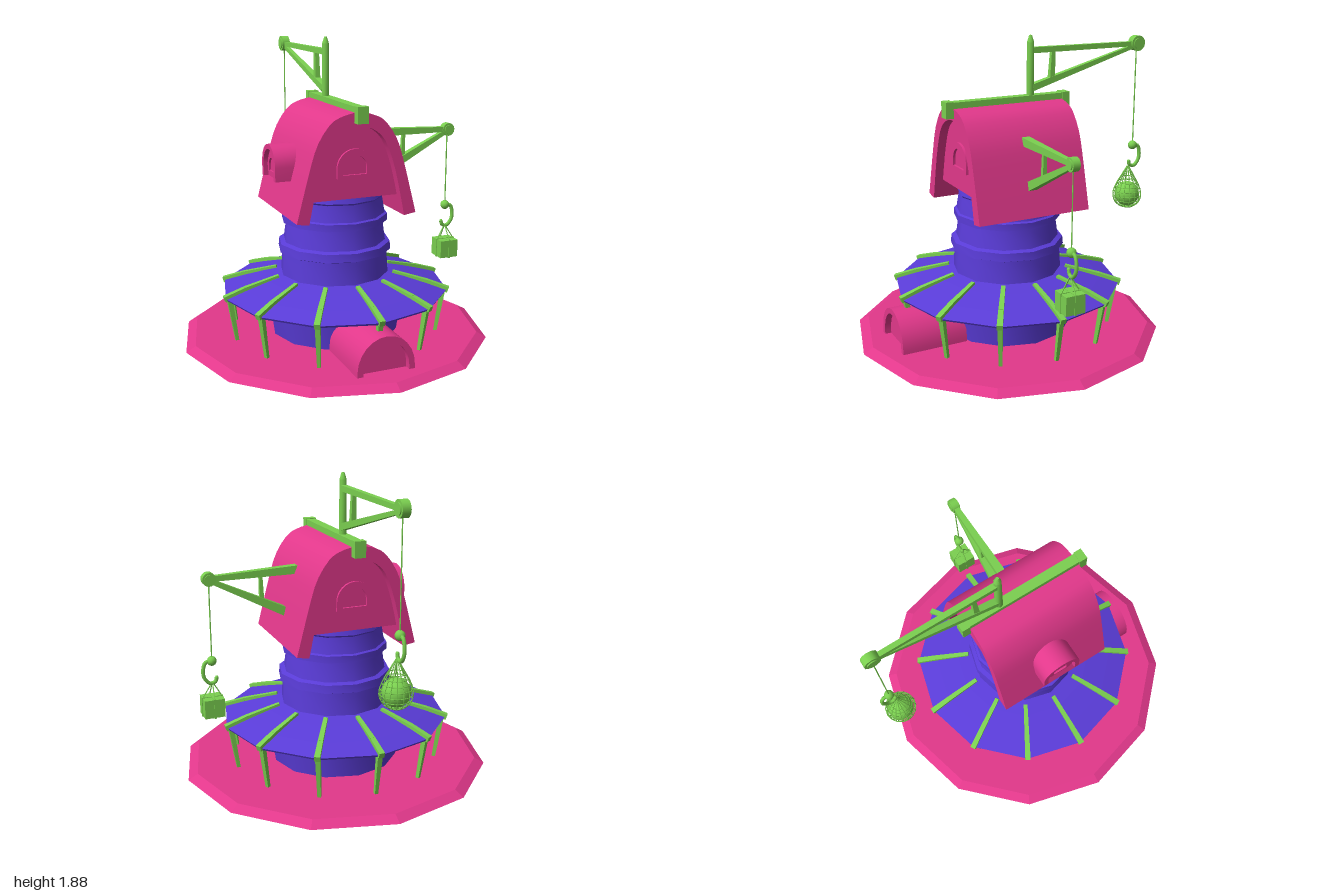
import * as THREE from 'three';
import { toCreasedNormals } from 'three/addons/utils/BufferGeometryUtils.js';

const V = (x, y, z = 0) => new THREE.Vector3(x, y, z);
const P = (list) => list.map(([x, y]) => new THREE.Vector2(x, y));
const UP = V(0, 1, 0);

export function createModel() {
  const pink = new THREE.MeshStandardMaterial({ color: 0xe2388b });
  pink.name = 'pink';
  const blue = new THREE.MeshStandardMaterial({ color: 0x5a3cd8 });
  blue.name = 'blue';
  const green = new THREE.MeshStandardMaterial({ color: 0x7bd050 });
  green.name = 'green';

  const model = new THREE.Group();
  model.name = 'craneTower';
  const root = new THREE.Group();
  root.name = 'building';
  root.position.z = 0.017;
  model.add(root);

  function add(parent, name, geo, mat, x = 0, y = 0, z = 0) {
    const m = new THREE.Mesh(geo, mat);
    m.name = name;
    m.position.set(x, y, z);
    parent.add(m);
    return m;
  }
  function group(parent, name, x = 0, y = 0, z = 0, ry = 0) {
    const g = new THREE.Group();
    g.name = name;
    g.position.set(x, y, z);
    g.rotation.y = ry;
    parent.add(g);
    return g;
  }
  const box = (w, h, d) => new THREE.BoxGeometry(w, h, d);

  // Tapered beam between two points, square (4 sides) or round
  function beam(parent, name, a, b, wa, wb = wa, sides = 4) {
    const k = sides === 4 ? Math.SQRT1_2 : 0.5;
    const geo = new THREE.CylinderGeometry(wb * k, wa * k, a.distanceTo(b), sides);
    if (sides === 4) geo.rotateY(Math.PI / 4);
    const m = add(parent, name, toCreasedNormals(geo, 1.1), green);
    m.position.copy(a).add(b).multiplyScalar(0.5);
    m.quaternion.setFromUnitVectors(UP, b.clone().sub(a).normalize());
    return m;
  }

  // Arch outline: straight sides up to s, then a half ellipse up to h
  function archPts(w, h, s, n = 12) {
    const pts = [[w, 0]];
    for (let i = 0; i <= n; i++) {
      const t = (i / n) * Math.PI;
      pts.push([w * Math.cos(t), s + (h - s) * Math.sin(t)]);
    }
    pts.push([-w, 0]);
    return P(pts);
  }
  function extrude(pts, depth) {
    const geo = new THREE.ExtrudeGeometry(new THREE.Shape(pts), { depth, bevelEnabled: false });
    return toCreasedNormals(geo, 0.6);
  }
  // Arched frame facing +z whose panel is set back by recess
  function arch(parent, name, w, h, s, t, depth, recess) {
    const inner = archPts(w - t, h - t, s);
    add(parent, name + 'Frame', extrude([...archPts(w, h, s), ...inner.slice().reverse()], depth), pink, 0, 0, -depth);
    add(parent, name + 'Panel', extrude(inner, depth - recess), pink, 0, 0, -depth);
  }
  function windowFrame(parent, w, h, s, t) {
    arch(parent, 'window', w, h, s, t, 0.025, 0.02);
    add(parent, 'windowSill', box(w * 2, t * 0.5, 0.025), pink, 0, t * 0.25, -0.0125);
  }

  // Twelve-sided base and ringed tower
  add(root, 'base', new THREE.CylinderGeometry(0.92, 0.98, 0.034, 12).toNonIndexed(), pink, 0, 0.017);
  root.children[0].geometry.computeVertexNormals();
  const tower = P([[0.4, 0.002], [0.452, 0.36], [0.345, 0.41], [0.335, 0.56], [0.36, 0.57], [0.355, 0.62],
    [0.325, 0.63], [0.308, 0.75], [0.336, 0.757], [0.336, 0.8], [0.32, 0.807], [0.303, 0.91], [0.31, 0.92], [0.29, 1.0]]);
  add(root, 'tower', toCreasedNormals(new THREE.LatheGeometry(tower, 12), 0.56), blue);

  // Skirt roof with ribs and leaning posts
  const skirt = P([[0.43, 0.375], [0.715, 0.3], [0.723, 0.313], [0.6, 0.352], [0.45, 0.394], [0.335, 0.42]]);
  const skirtGeo = new THREE.LatheGeometry(skirt, 12).toNonIndexed();
  skirtGeo.computeVertexNormals();
  add(root, 'skirtRoof', skirtGeo, blue);
  for (let i = 0; i < 12; i++) {
    const g = group(root, 'skirtSupport', 0, 0, 0, (i * Math.PI) / 6);
    beam(g, 'rib', V(0.375, 0.413), V(0.6, 0.357), 0.026, 0.032);
    beam(g, 'ribEnd', V(0.595, 0.358), V(0.73, 0.312), 0.032, 0.036);
    beam(g, 'post', V(0.65, 0.0), V(0.698, 0.315), 0.02, 0.032);
  }

  // Arched porch on the front
  arch(group(root, 'porch', 0, 0.01, 0.79), 'door', 0.182, 0.25, 0.05, 0.036, 0.42, 0.04);

  // Curved house roof and the recessed house body
  const half = (list) => {
    const right = new THREE.SplineCurve(P(list)).getPoints(12);
    const left = right.slice(0, -1).reverse().map((p) => new THREE.Vector2(-p.x, p.y));
    return [...right, ...left];
  };
  const outer = half([[0.385, 0.847], [0.306, 1.147], [0.254, 1.305], [0.175, 1.42], [0.097, 1.463], [0, 1.484]]);
  const inner = half([[0.308, 0.835], [0.245, 1.12], [0.175, 1.305], [0.09, 1.38], [0, 1.405]]);
  add(root, 'houseRoof', extrude([...outer, ...inner.slice().reverse()], 0.74), pink, 0, 0, -0.37);
  const body = [new THREE.Vector2(0.283, 0.956), ...inner.filter((p) => p.y > 0.97), new THREE.Vector2(-0.283, 0.956)];
  add(root, 'houseBody', extrude(body, 0.63), pink, 0, 0, -0.315);
  for (const s of [0, 1]) {
    const g = group(root, s ? 'backWindow' : 'frontWindow', 0, 1.085, s ? -0.33 : 0.33, s * Math.PI);
    windowFrame(g, 0.115, 0.175, 0.06, 0.038);
  }

  // Dormer on the right side
  const dormer = group(root, 'dormer', -0.43, 1.05, 0, -Math.PI / 2);
  arch(dormer, 'dormer', 0.125, 0.212, 0.085, 0.03, 0.2, 0.03);
  windowFrame(group(dormer, 'dormerWindow', 0, 0.03, -0.018), 0.07, 0.12, 0.05, 0.025);

  // Ridge beam with end caps
  add(root, 'ridgeBeam', box(0.06, 0.04, 0.8), green, 0.008, 1.495);
  for (const s of [-1, 1]) add(root, 'ridgeCap', box(0.07, 0.1, 0.05), green, 0.008, 1.47, s * 0.397);

  // Pulley, rope, ring and hook; the hook bulges towards +x
  function hoist(parent, x, y, r, thick, ringY) {
    const geo = new THREE.CylinderGeometry(r, r, thick, 16).rotateX(Math.PI / 2);
    add(parent, 'pulley', geo, green, x, y);
    add(parent, 'pulleyHub', new THREE.CylinderGeometry(r * 0.7, r * 0.7, thick + 0.012, 16).rotateX(Math.PI / 2), green, x, y);
    beam(parent, 'rope', V(x, ringY), V(x, y), 0.008, 0.008, 6);
    add(parent, 'ring', new THREE.SphereGeometry(0.03, 10, 8), green, x, ringY);
    const path = [[0, 0], [0.038, -0.005], [0.056, -0.05], [0.05, -0.105], [0.015, -0.143], [-0.018, -0.135], [-0.026, -0.11]];
    const curve = new THREE.CatmullRomCurve3(path.map(([a, b]) => V(x + a, ringY + b)));
    add(parent, 'hook', new THREE.TubeGeometry(curve, 20, 0.012, 6), green);
    add(parent, 'hookTip', new THREE.SphereGeometry(0.012, 6, 5), green, x - 0.026, ringY - 0.11);
  }

  // Side crane carrying a crate
  const side = group(root, 'sideCrane');
  beam(side, 'arm', V(0.24, 1.288), V(0.8, 1.276), 0.052, 0.032);
  beam(side, 'brace', V(0.31, 1.02), V(0.785, 1.26), 0.056, 0.028);
  beam(side, 'strut', V(0.475, 1.11), V(0.48, 1.28), 0.026, 0.02);
  hoist(side, 0.8, 1.275, 0.042, 0.045, 0.765);
  const crate = group(side, 'crate', 0.805, 0.473, 0.005);
  add(crate, 'crateBox', box(0.126, 0.116, 0.126), green);
  add(crate, 'crateStrapX', box(0.134, 0.124, 0.014), green);
  add(crate, 'crateStrapZ', box(0.014, 0.124, 0.134), green);
  for (const sx of [-1, 1]) {
    beam(crate, 'crateRope', V(sx * 0.06, 0.058), V(-0.005, 0.155), 0.007, 0.007, 5);
    beam(crate, 'crateRope', V(0, 0.058, sx * 0.06), V(-0.005, 0.155), 0.007, 0.007, 5);
  }

  // Rear crane on the ridge carrying a net
  const rear = group(root, 'rearCrane', 0.008, 0, 0, Math.PI / 2);
  beam(rear, 'mast', V(0.16, 1.48), V(0.16, 1.84), 0.05, 0.046, 8);
  beam(rear, 'mastTip', V(0.16, 1.84), V(0.16, 1.882), 0.046, 0.018, 8);
  beam(rear, 'arm', V(0.16, 1.79), V(0.942, 1.787), 0.036, 0.03);
  beam(rear, 'brace', V(0.17, 1.56), V(0.92, 1.772), 0.042, 0.024);
  beam(rear, 'strut', V(0.308, 1.605), V(0.317, 1.78), 0.034, 0.026);
  hoist(rear, 0.942, 1.79, 0.05, 0.05, 1.11);

  const net = group(rear, 'net', 0.912, 0.775, 0);
  add(net, 'netLoad', new THREE.SphereGeometry(0.083, 16, 12), green);
  const strand = new THREE.CatmullRomCurve3([[0.004, 0.195], [0.04, 0.13], [0.078, 0.06], [0.096, 0],
    [0.084, -0.05], [0.05, -0.083], [0.002, -0.097]].map(([r, y]) => V(r, y)));
  const strandGeo = new THREE.TubeGeometry(strand, 16, 0.0028, 4);
  for (let i = 0; i < 16; i++) add(net, 'netStrand', strandGeo, green).rotation.y = (i * Math.PI) / 8;
  for (let i = 3; i < 11; i++) {
    const p = strand.getPointAt(i / 11.5);
    add(net, 'netHoop', new THREE.TorusGeometry(p.x, 0.0028, 4, 16).rotateX(Math.PI / 2), green, 0, p.y);
  }
  return model;
}
